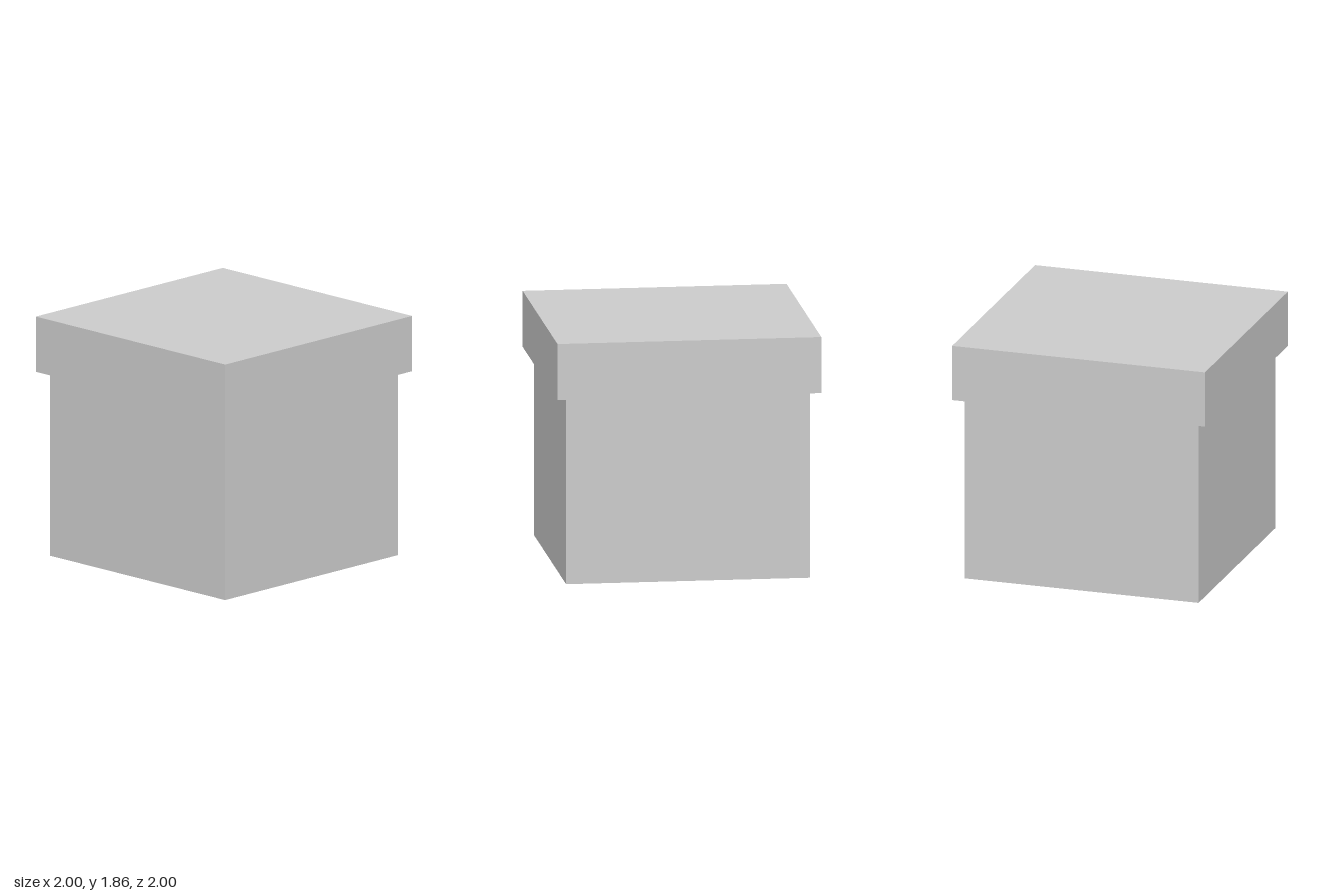
import * as THREE from 'three';

const WALL = 0.025;

// Square open-topped tray with wall thickness, standing on y = 0
function trayGeometry(half, height) {
  const profile = [
    [0, 0], [half, 0], [half, height],
    [half - WALL, height], [half - WALL, WALL], [0, WALL],
  ].map(([x, y]) => new THREE.Vector2(x * Math.SQRT2, y));
  const geometry = new THREE.LatheGeometry(profile, 4, Math.PI / 4).toNonIndexed();
  geometry.computeVertexNormals(); // flat faces
  return geometry;
}

export function createModel() {
  const group = new THREE.Group();
  const material = new THREE.MeshStandardMaterial({ color: 0xcccccc, flatShading: true });
  const top = 1.86;

  // Box body, reaching up to the underside of the lid panel
  const body = new THREE.Mesh(trayGeometry(0.925, top - WALL), material);
  body.name = 'boxBody';
  group.add(body);

  // Lid: a wider, shallow tray turned upside down over the body
  const lid = new THREE.Mesh(trayGeometry(1, 0.43), material);
  lid.name = 'lid';
  lid.rotation.x = Math.PI;
  lid.position.y = top;
  group.add(lid);

  return group;
}
